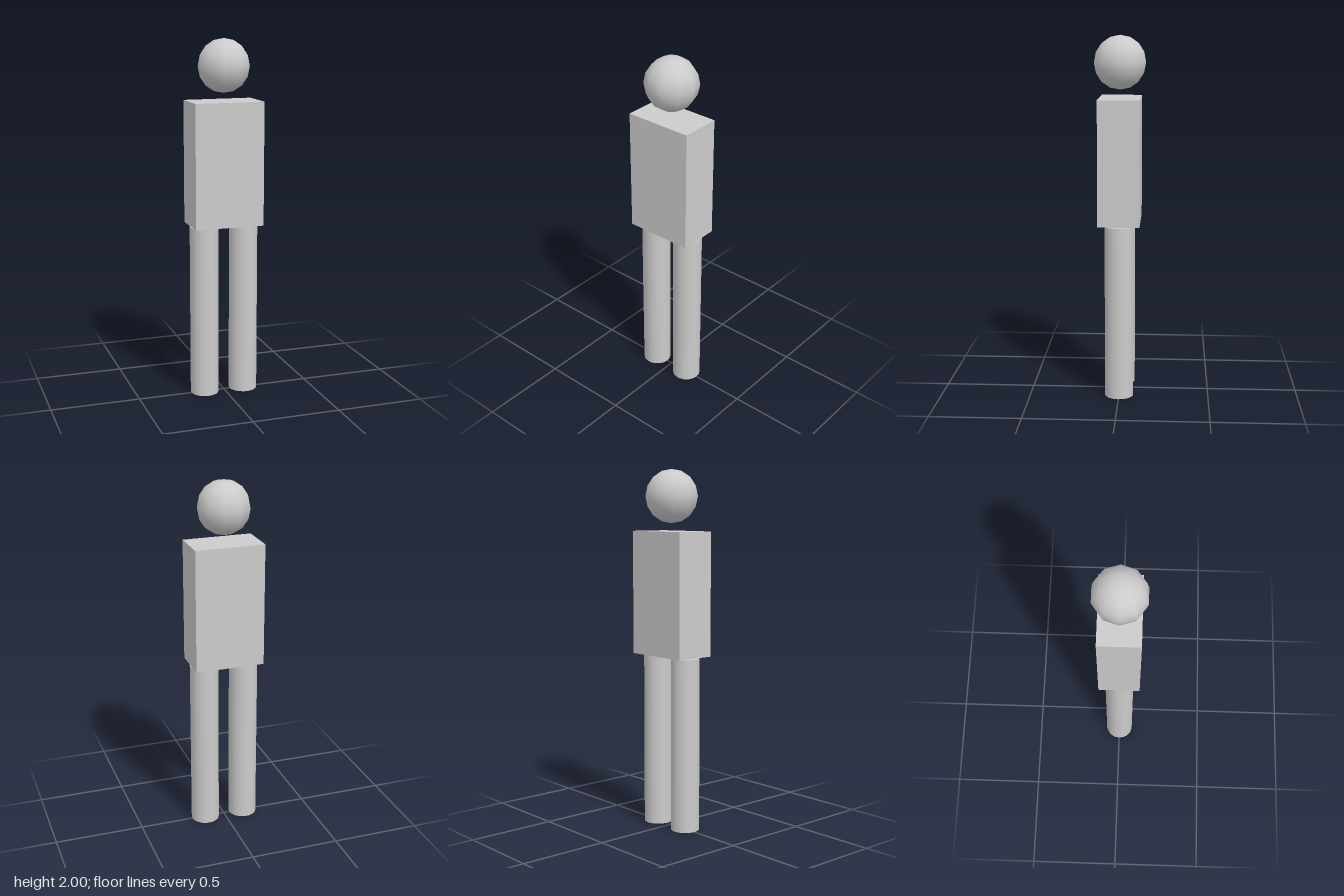
import * as THREE from 'three';

export function createModel() {
  const group = new THREE.Group();
  const material = new THREE.MeshStandardMaterial({ color: 0xcccccc });

  const add = (name, geometry, x, y) => {
    const mesh = new THREE.Mesh(geometry, material);
    mesh.name = name;
    mesh.position.set(x, y, 0);
    group.add(mesh);
  };

  // Floating head: coarse, smooth-shaded ball
  add('head', new THREE.SphereGeometry(0.147, 10, 8), 0, 1.853);

  // Plain box torso
  add('torso', new THREE.BoxGeometry(0.39, 0.686, 0.228), 0, 1.32);

  // Straight cylinder legs, a small gap below the torso
  const leg = new THREE.CylinderGeometry(0.08, 0.08, 0.97, 18).rotateY(Math.PI / 2);
  add('leftLeg', leg, 0.115, 0.485);
  add('rightLeg', leg, -0.115, 0.485);

  return group;
}
